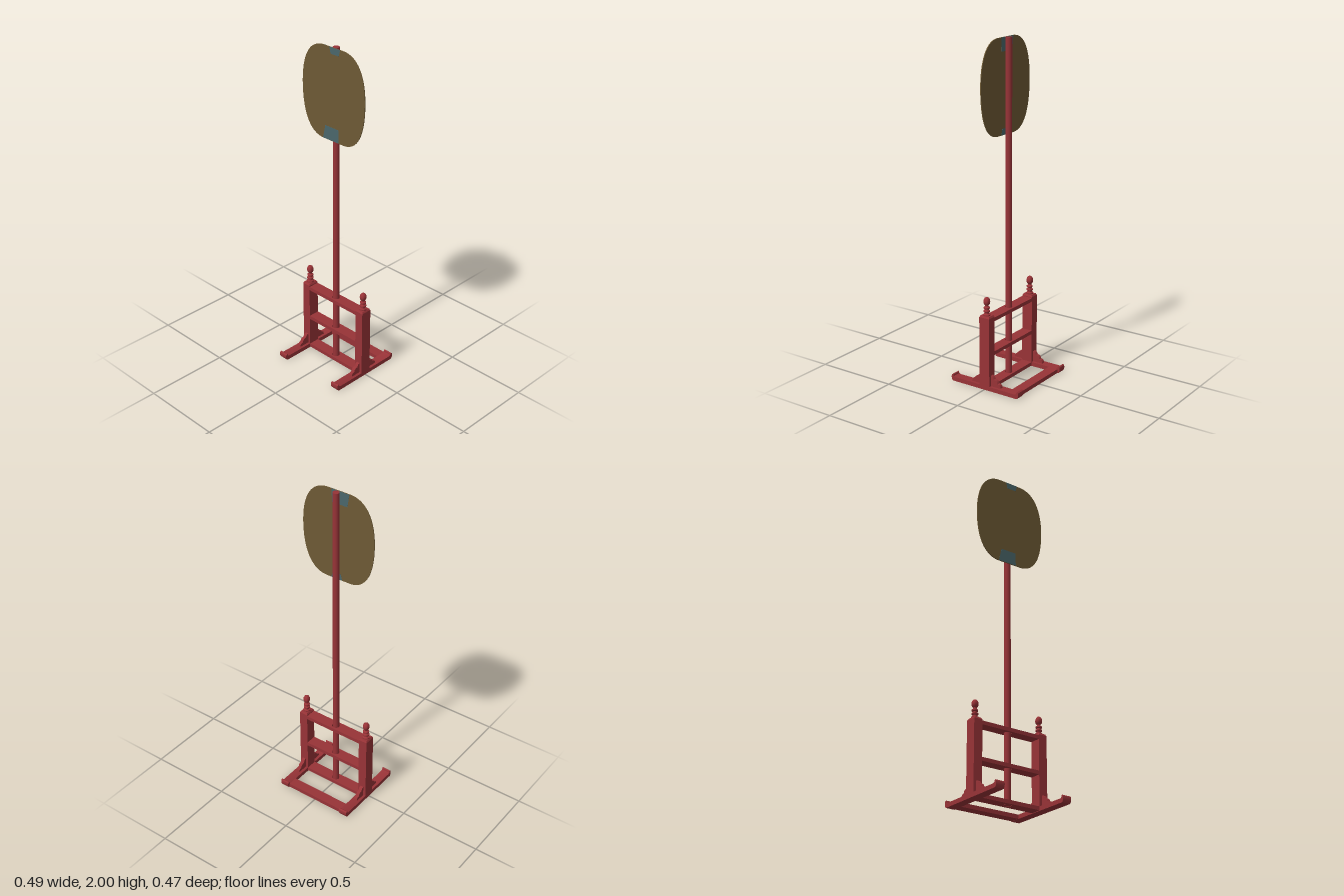
import * as THREE from 'three';
import { toCreasedNormals } from 'three/addons/utils/BufferGeometryUtils.js';

export function createModel() {
  const group = new THREE.Group();
  const red = new THREE.MeshStandardMaterial({ color: 0x983337 });
  red.name = 'redLacquer';
  const brown = new THREE.MeshStandardMaterial({ color: 0x6e5a35 });
  brown.name = 'oliveBrown';
  const blue = new THREE.MeshStandardMaterial({ color: 0x4a676b });
  blue.name = 'greyBlue';

  const Z = -0.002; // plane of the posts and pole
  const POST_X = 0.218;

  const add = (name, geometry, material, x = 0, y = 0, z = 0) => {
    const mesh = new THREE.Mesh(geometry, material);
    mesh.name = name;
    mesh.position.set(x, y, z);
    group.add(mesh);
    return mesh;
  };
  const polygon = (points) => new THREE.Shape(points.map(([x, y]) => new THREE.Vector2(x, y)));
  const extrude = (shape, depth) =>
    new THREE.ExtrudeGeometry(shape, { depth, bevelEnabled: false, curveSegments: 24 });
  // Side profile given as [z, y], extruded across x and centred on it
  const sidePlate = (points, width) => {
    const g = extrude(polygon(points), width);
    g.translate(0, 0, -width / 2);
    g.rotateY(-Math.PI / 2);
    return toCreasedNormals(g, 0.6);
  };

  // Feet with upturned ends
  const footHalf = [[0.225, 0], [0.233, 0.01], [0.235, 0.025], [0.233, 0.036],
    [0.226, 0.042], [0.221, 0.038], [0.219, 0.029], [0.21, 0.025]];
  const footProfile = [...footHalf, ...footHalf.map(([z, y]) => [-z, y]).reverse()];

  // Stepped brackets beside the posts
  const bracketProfile = [[0.02, 0.02], [0.1, 0.02], [0.099, 0.036], [0.092, 0.045], [0.08, 0.048],
    [0.075, 0.06], [0.066, 0.067], [0.054, 0.07], [0.046, 0.084], [0.036, 0.09], [0.02, 0.09]];

  // Turned finial
  const finialProfile = [[0.021, 0], [0.021, 0.008], [0.013, 0.013], [0.013, 0.018], [0.019, 0.023],
    [0.019, 0.03], [0.012, 0.035], [0.012, 0.039], [0.018, 0.043], [0.018, 0.05], [0.01, 0.056],
    [0.01, 0.062], [0.017, 0.07], [0.02, 0.081], [0.019, 0.092], [0.014, 0.103], [0.007, 0.109], [0, 0.111]]
    .map(([r, y]) => new THREE.Vector2(r, y));

  for (const [side, s] of [['left', 1], ['right', -1]]) {
    const x = s * POST_X;
    add(side + 'Foot', sidePlate(footProfile, 0.054), red, x);
    add(side + 'Post', new THREE.BoxGeometry(0.054, 0.435, 0.068), red, x, 0.2225, Z);

    // Chamfered post top
    const cap = new THREE.BoxGeometry(0.054, 0.01, 0.068);
    const p = cap.attributes.position;
    for (let i = 0; i < p.count; i++) {
      if (p.getY(i) > 0) p.setXYZ(i, p.getX(i) * 0.8, p.getY(i), p.getZ(i) * 0.84);
    }
    cap.computeVertexNormals();
    add(side + 'PostTop', cap, red, x, 0.445, Z);

    add(side + 'Finial', toCreasedNormals(new THREE.LatheGeometry(finialProfile, 24), 0.7), red, x, 0.449, Z);
    add(side + 'FrontBracket', sidePlate(bracketProfile, 0.021), red, x, 0, Z);
    add(side + 'BackBracket', sidePlate(bracketProfile.map(([z, y]) => [-z, y]), 0.021), red, x, 0, Z);
  }

  // Cross rails, each with a round hole for the pole
  const railShape = polygon([[-0.195, -0.034], [0.195, -0.034], [0.195, 0.034], [-0.195, 0.034]]);
  const hole = new THREE.Path();
  hole.absarc(0, 0, 0.023, 0, Math.PI * 2, true);
  railShape.holes.push(hole);
  const railGeometry = extrude(railShape, 0.022);
  railGeometry.rotateX(-Math.PI / 2);
  const rail = toCreasedNormals(railGeometry, 0.6);
  [['bottomRail', 0.003], ['middleRail', 0.206], ['topRail', 0.412]]
    .forEach(([name, y]) => add(name, rail, red, 0, y, Z));

  // Bar joining the feet at the back
  add('backBar', new THREE.BoxGeometry(0.39, 0.024, 0.061), red, 0, 0.013, -0.19);

  // Pole
  add('pole', new THREE.CylinderGeometry(0.019, 0.019, 1.997, 32), red, 0, 1.0015, Z);

  // Rounded panel on the pole
  const panel = new THREE.Shape();
  panel.moveTo(-0.08, 1.455);
  panel.lineTo(0.08, 1.455);
  panel.bezierCurveTo(0.2, 1.46, 0.235, 1.6, 0.235, 1.74);
  panel.bezierCurveTo(0.235, 1.89, 0.185, 2, 0.07, 2);
  panel.lineTo(-0.07, 2);
  panel.bezierCurveTo(-0.185, 2, -0.235, 1.89, -0.235, 1.74);
  panel.bezierCurveTo(-0.235, 1.6, -0.2, 1.46, -0.08, 1.455);
  add('panel', toCreasedNormals(extrude(panel, 0.005), 0.6), brown, 0, 0, 0.017);

  // Coloured patches on the panel's edges, front and back
  const patch = (name, points, z) => add(name, extrude(polygon(points), 0.001), blue, 0, 0, z);
  const frontZ = 0.0217, backZ = 0.0163;
  patch('frontTopPatch', [[-0.018, 1.963], [0.042, 1.963], [0.053, 2], [-0.027, 2]], frontZ);
  patch('frontBottomPatch', [[-0.078, 1.456], [0.043, 1.456], [0.04, 1.535], [-0.06, 1.535]], frontZ);
  patch('backTopPatch', [[-0.06, 1.922], [0.04, 1.922], [0.043, 2], [-0.072, 2]], backZ);
  patch('backBottomPatch', [[-0.027, 1.456], [0.045, 1.456], [0.036, 1.492], [-0.018, 1.492]], backZ);

  return group;
}
